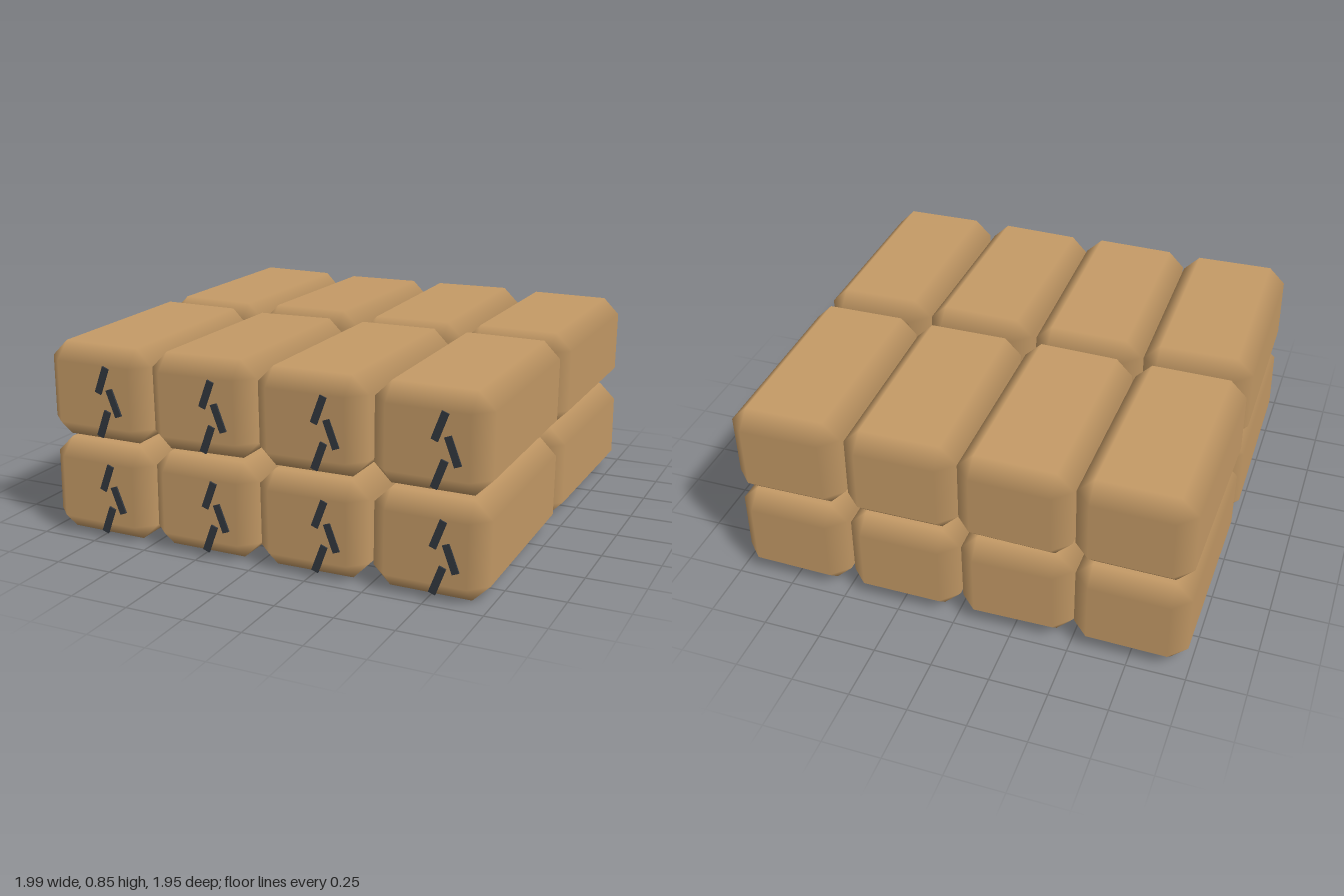
import * as THREE from 'three';
import { ConvexGeometry } from 'three/addons/geometries/ConvexGeometry.js';

// Box with chamfered edges and cut corners; each point takes the normal of the face it lies on
function chamferedBox(w, h, d, c) {
  const half = [w / 2, h / 2, d / 2];
  const points = [];
  for (const sx of [-1, 1]) for (const sy of [-1, 1]) for (const sz of [-1, 1]) {
    for (let axis = 0; axis < 3; axis++) {
      const p = [sx, sy, sz].map((s, i) => s * (half[i] - (i === axis ? 0 : c)));
      points.push(new THREE.Vector3(...p));
    }
  }
  const geo = new ConvexGeometry(points);
  const pos = geo.attributes.position, nor = geo.attributes.normal;
  for (let i = 0; i < pos.count; i++) {
    const p = [pos.getX(i), pos.getY(i), pos.getZ(i)];
    const n = p.map((v, k) => (Math.abs(Math.abs(v) - half[k]) < 1e-4 ? Math.sign(v) : 0));
    nor.setXYZ(i, ...n);
  }
  return geo;
}

export function createModel() {
  const burlap = new THREE.MeshStandardMaterial({ color: 0xc49a66 });
  burlap.name = 'burlap';
  const thread = new THREE.MeshStandardMaterial({ color: 0x32373e });
  thread.name = 'thread';

  const sackGeo = chamferedBox(0.485, 0.41, 0.963, 0.072);
  const stitchGeo = new THREE.BoxGeometry(0.03, 0.12, 0.009);

  // Three slanted stitches on the front end of every sack: x, y, lean
  const stitches = [[0.055, 0.07, -0.36], [0.108, -0.022, 0.36], [0.055, -0.117, -0.36]];

  // Slight settling of each sack in degrees [pitch, yaw, roll], by layer, row and column
  const tilts = {
    bottomFront: [[0.2, 0.6, -0.8], [-0.2, 0.4, -0.4], [0.3, -0.6, 0.5], [0.5, 0.3, -0.7]],
    bottomBack: [[-0.3, -0.5, 0.4], [0.3, 0.6, -0.5], [-0.4, 0.5, 0.6], [-0.3, -0.4, 0.5]],
    topFront: [[0.3, 0.8, -0.5], [-0.3, 0.5, 0.9], [0.4, -0.8, 0.5], [0.3, 0.4, -0.5]],
    topBack: [[0.3, -1, -0.4], [-0.4, -0.6, 0.6], [0.3, 1.1, 0.5], [-0.3, 0.4, -0.4]],
  };

  const model = new THREE.Group();
  model.name = 'sackStack';
  for (const layer of ['bottom', 'top']) for (const row of ['Front', 'Back']) {
    tilts[layer + row].forEach((tilt, column) => {
      const unit = new THREE.Group();
      unit.name = `${layer}${row}Sack${column + 1}`;
      unit.position.set(-0.745 + column * 0.4967, layer === 'top' ? 0.64 : 0.215, row === 'Front' ? 0.483 : -0.489);

      const sack = new THREE.Mesh(sackGeo, burlap);
      sack.name = 'sack';
      sack.rotation.set(...tilt.map(THREE.MathUtils.degToRad));
      unit.add(sack);

      for (const [x, y, lean] of stitches) {
        const stitch = new THREE.Mesh(stitchGeo, thread);
        stitch.name = 'stitch';
        stitch.position.set(x, y, 0.484);
        stitch.rotation.z = lean;
        unit.add(stitch);
      }
      model.add(unit);
    });
  }
  return model;
}
